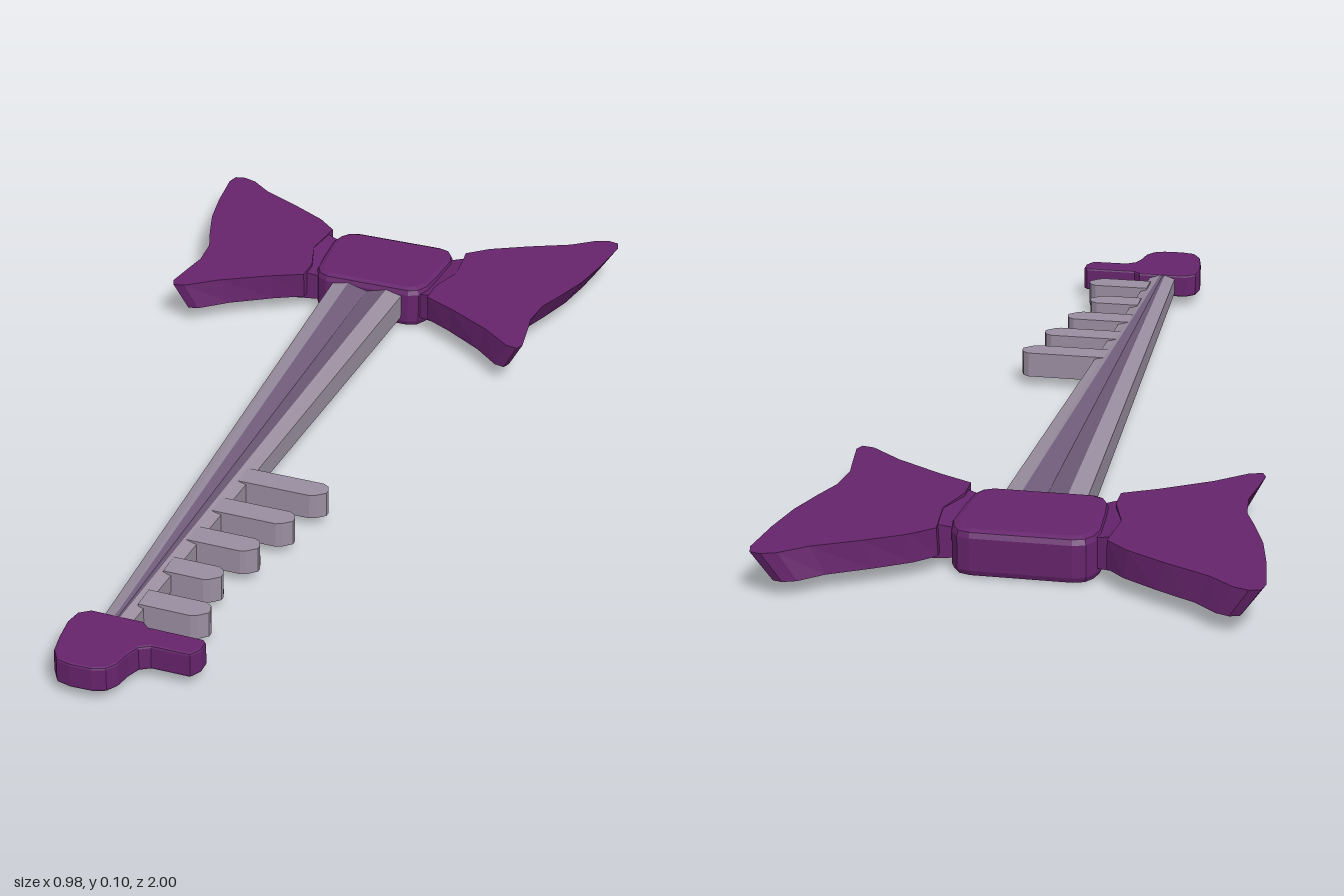
import * as THREE from 'three';

const material = (color) => new THREE.MeshStandardMaterial({ color, flatShading: true, side: THREE.DoubleSide });

// Slab with an outline in x/z between two heights, optionally bevelled
function slab(points, y0, y1, bevel = 0) {
  const shape = new THREE.Shape(points.map(([x, z]) => new THREE.Vector2(x, z)));
  const g = new THREE.ExtrudeGeometry(shape, {
    depth: y1 - y0 - 2 * bevel, bevelEnabled: bevel > 0,
    bevelThickness: bevel, bevelSize: bevel, bevelOffset: -bevel, bevelSegments: 2,
  });
  return g.rotateX(Math.PI / 2).translate(0, y1 - bevel, 0);
}

// Strips between a back and a front cross-section of [x, y] points
function strips(back, front, zBack, zFront, closed) {
  const pos = [];
  const n = back.length;
  for (let i = 0; i < (closed ? n : n - 1); i++) {
    const j = (i + 1) % n;
    const a = [...back[i], zBack], b = [...back[j], zBack];
    const c = [...front[j], zFront], d = [...front[i], zFront];
    pos.push(...a, ...d, ...c, ...a, ...c, ...b);
  }
  const g = new THREE.BufferGeometry();
  g.setAttribute('position', new THREE.Float32BufferAttribute(pos, 3));
  g.computeVertexNormals();
  return g;
}

export function createModel() {
  const root = new THREE.Group();
  root.name = 'bowKey';
  const purple = material(0x66246c);
  const grey = material(0x9a8ea0);
  const mauve = material(0x705c7a);
  const add = (name, geometry, mat) => {
    const mesh = new THREE.Mesh(geometry, mat);
    mesh.name = name;
    root.add(mesh);
    return mesh;
  };

  // Bow wings, undercut towards the bottom, with a lower neck running into the knot
  const wing = [
    [0.165, -0.82], [0.21, -0.86], [0.29, -0.905], [0.38, -0.95], [0.43, -0.99], [0.46, -1],
    [0.482, -0.995], [0.488, -0.97], [0.475, -0.87], [0.457, -0.78], [0.43, -0.7], [0.407, -0.64],
    [0.4, -0.57], [0.408, -0.52], [0.418, -0.45], [0.41, -0.432], [0.385, -0.437], [0.32, -0.49],
    [0.22, -0.55], [0.15, -0.585], [0.15, -0.64], [0.175, -0.72],
  ];
  for (const side of [1, -1]) {
    const name = side > 0 ? 'left' : 'right';
    const g = slab(wing.map(([x, z]) => [x * side, z]), 0.035, 0.095);
    const p = g.attributes.position;
    for (let i = 0; i < p.count; i++) {
      if (p.getY(i) < 0.06) {
        p.setX(i, side * (0.15 + (Math.abs(p.getX(i)) - 0.15) * 0.88));
        p.setZ(i, -0.72 + (p.getZ(i) + 0.72) * 0.96);
      }
    }
    g.computeVertexNormals();
    add(name + 'BowWing', g, purple);

    const neck = new THREE.BoxGeometry(0.09, 0.045, 0.2);
    const q = neck.attributes.position;
    for (let i = 0; i < q.count; i++) {
      const outer = q.getX(i) * side > 0;
      if (q.getY(i) > 0) q.setY(i, outer ? 0.05 : 0.03);
      if (!outer) q.setZ(i, q.getZ(i) * 0.8);
    }
    neck.translate(side * 0.135, 0.045, -0.7).computeVertexNormals();
    add(name + 'BowNeck', neck, purple);
  }

  // Rounded central knot
  const halfKnot = [[0.1, -0.83], [0.125, -0.822], [0.14, -0.8], [0.147, -0.77],
    [0.142, -0.69], [0.136, -0.635], [0.122, -0.608], [0.1, -0.597]];
  const mirrored = halfKnot.map(([x, z]) => [-x, z]).reverse();
  add('bowKnot', slab([...halfKnot, ...mirrored], 0, 0.097, 0.015), purple);

  // Tapered shaft: grey rails and sides with mauve V grooves above and below
  const section = (w, rim, y0, y1, dip) => ({
    right: [[rim, y1], [w, y1 - 0.008], [w, y0 + 0.008], [rim, y0]],
    left: [[-rim, y0], [-w, y0 + 0.008], [-w, y1 - 0.008], [-rim, y1]],
    top: [[-rim, y1], [0, y1 - dip], [rim, y1]],
    bottom: [[rim, y0], [0, y0 + dip], [-rim, y0]],
  });
  const back = section(0.085, 0.047, 0.015, 0.087, 0.012);
  const front = section(0.029, 0.005, 0.025, 0.076, 0.002);
  for (const part of ['right', 'left', 'top', 'bottom']) {
    const groove = part === 'top' || part === 'bottom';
    const label = { right: 'leftShaftRail', left: 'rightShaftRail', top: 'topGroove', bottom: 'bottomGroove' }[part];
    add(label, strips(back[part], front[part], -0.63, 0.84, false), groove ? mauve : grey);
  }

  // Row of teeth with chamfered ends
  const teeth = [[0.25, 0.22], [0.375, 0.194], [0.494, 0.165], [0.615, 0.135], [0.74, 0.16]];
  teeth.forEach(([z, end], i) => {
    const h = 0.027;
    const outline = [[0.02, z - h], [end - 0.018, z - h], [end - 0.005, z - h * 0.7], [end, z - h * 0.2],
      [end, z + h * 0.2], [end - 0.018, z + h * 0.8], [end - 0.03, z + h], [0.02, z + h]];
    add('tooth' + (i + 1), slab(outline, 0.022, 0.077), grey);
  });

  // Rounded tip with its own side tooth
  const tip = [
    [-0.055, 0.818], [0.055, 0.818], [0.07, 0.832], [0.185, 0.832], [0.193, 0.84], [0.193, 0.865],
    [0.18, 0.889], [0.1, 0.89], [0.08, 0.903], [0.07, 0.93], [0.064, 0.965], [0.05, 0.988],
    [0.025, 0.998], [-0.02, 1], [-0.05, 0.993], [-0.068, 0.965], [-0.077, 0.92], [-0.083, 0.87], [-0.077, 0.835],
  ];
  add('keyTip', slab(tip, 0.024, 0.078, 0.005), purple);

  return root;
}
